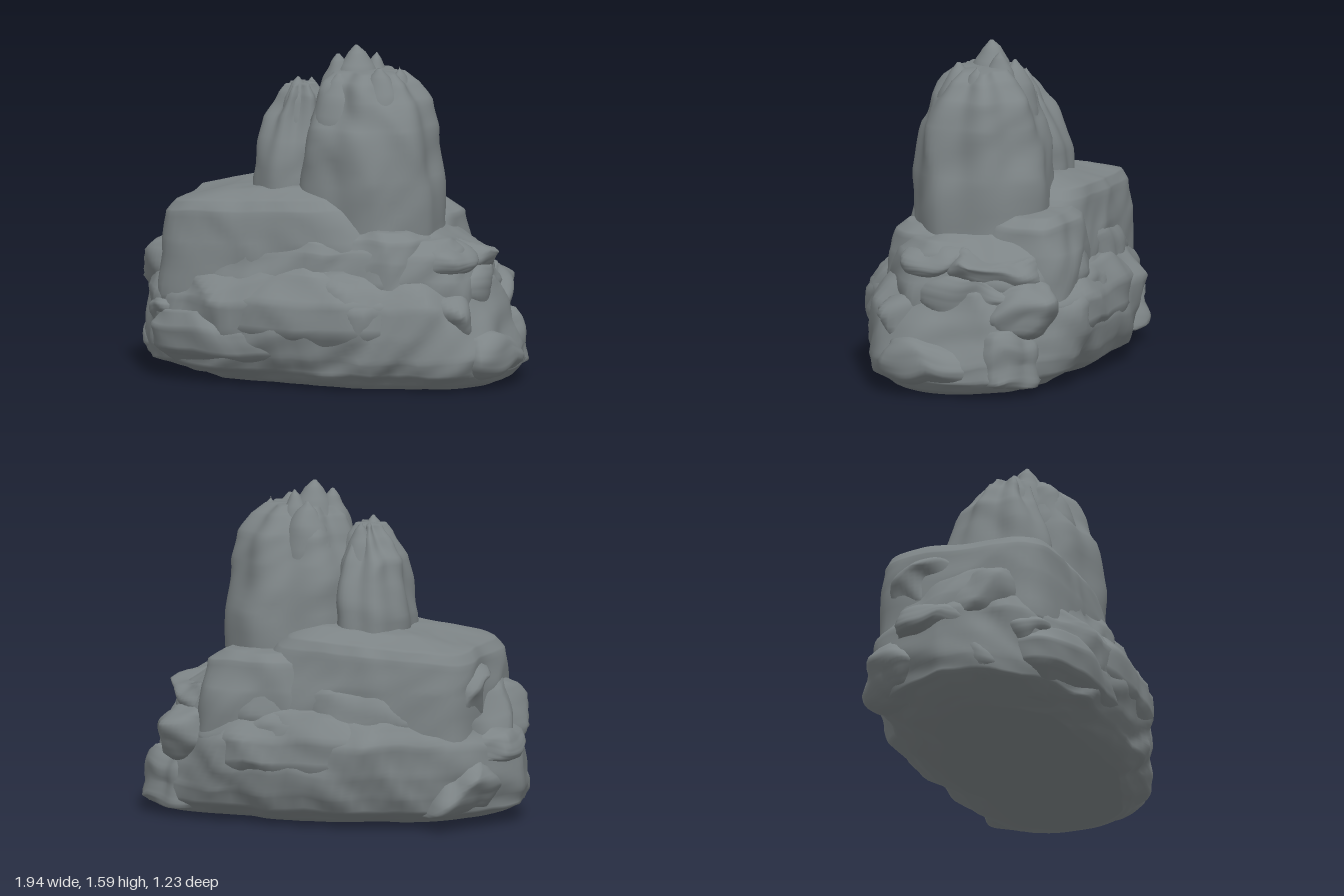
import * as THREE from 'three';

const stone = new THREE.MeshStandardMaterial({ color: 0x7d8486 });
stone.name = 'grey stone';

// Craggy noise: warped sine waves with sharp creases, roughly -1..1
function crag(x, y, z, s) {
  const u = x + 0.12 * Math.sin(7 * y + s), v = y + 0.1 * Math.sin(6 * z + 2 * s), w = z + 0.12 * Math.sin(8 * x + 3 * s);
  const ridge = 1 - 2 * Math.abs(Math.sin(5 * u + 4 * v - 5 * w + s * 1.7));
  const wave = Math.sin(9 * u - 5 * w + s) * Math.sin(13 * v + 4 * w + s * 2.3);
  const fine = Math.sin(23 * u + s) * Math.sin(19 * w + 21 * v);
  return 0.4 * ridge + 0.4 * wave + 0.2 * fine;
}

// Lofts a rock through levels [y, xMin, xMax, zMin, zMax]
function rock(name, levels, { power = 2.4, rough = 0.04, seed = 1, tilt = 0, around = 72, steps = 6, flutes = 0 } = {}) {
  const pos = [], index = [], rings = [];
  for (let i = 0; i < levels.length - 1; i++) {
    for (let k = 0; k < steps; k++) {
      rings.push(levels[i].map((v, c) => THREE.MathUtils.lerp(v, levels[i + 1][c], k / steps)));
    }
  }
  rings.push(levels[levels.length - 1]);
  const y0 = levels[0][0], y1 = rings[rings.length - 1][0];
  const addCentre = ([y, a, b, c, d]) => pos.push((a + b) / 2, y + tilt * (a + b) / 2 * (y - y0) / (y1 - y0), (c + d) / 2);
  for (const [y, xa, xb, za, zb] of rings) {
    const cx = (xa + xb) / 2, cz = (za + zb) / 2, lift = (y - y0) / (y1 - y0);
    for (let j = 0; j < around; j++) {
      const t = j / around * Math.PI * 2, c = Math.cos(t), s = Math.sin(t);
      const r = Math.pow(Math.abs(c) ** power + Math.abs(s) ** power, -1 / power);
      const x = cx + c * r * (xb - xa) / 2, z = cz + s * r * (zb - za) / 2;
      const n = rough * crag(x, y, z, seed) + flutes * Math.sin(7 * t + seed) * lift;
      const py = y + tilt * x * lift + 0.5 * rough * crag(z, x, y, seed + 4) * Math.min(1, y * 8);
      pos.push(x + n * c, Math.max(0, py), z + n * s);
    }
  }
  for (let i = 0; i < rings.length - 1; i++) {
    for (let j = 0; j < around; j++) {
      const p = i * around + j, q = i * around + (j + 1) % around;
      index.push(p, p + around, q, q, p + around, q + around);
    }
  }
  const bottom = rings.length * around, top = bottom + 1, last = (rings.length - 1) * around;
  addCentre(rings[0]);
  addCentre(rings[rings.length - 1]);
  for (let j = 0; j < around; j++) {
    const k = (j + 1) % around;
    index.push(bottom, j, k, top, last + k, last + j);
  }
  const geo = new THREE.BufferGeometry();
  geo.setAttribute('position', new THREE.Float32BufferAttribute(pos, 3));
  geo.setIndex(index);
  geo.computeVertexNormals();
  const mesh = new THREE.Mesh(geo, stone);
  mesh.name = name;
  return mesh;
}

// Pointed shard breaking out of a spire, from its base height up to its tip
function shard(name, x, z, rx, rz, base, height, seed) {
  const profile = [[0, 1], [0.4, 0.9], [0.7, 0.65], [0.9, 0.33], [1, 0.06]];
  const levels = profile.map(([t, r]) => [base + (height - base) * t, x - rx * r, x + rx * r, z - rz * r, z + rz * r]);
  return rock(name, levels, { power: 2, rough: 0.018, seed, around: 28, steps: 4 });
}

// Craggy lump half sunk into the formation
function lump(name, x, y, z, rx, ry, rz, seed) {
  const levels = [];
  for (let i = 0; i <= 8; i++) {
    const a = -1.45 + i / 8 * 2.9, r = Math.cos(a) ** 0.6;
    levels.push([y + ry * Math.sin(a), x - rx * r, x + rx * r, z - rz * r, z + rz * r]);
  }
  return rock(name, levels, { power: 2.1, rough: 0.085, seed, around: 56, steps: 3 });
}

export function createModel() {
  const group = new THREE.Group();
  group.name = 'rockFormation';

  // Broad foot and stepped ledges
  group.add(
    rock('foot', [
      [0, -0.62, 0.84, -0.32, 0.41], [0.025, -0.74, 0.9, -0.43, 0.47], [0.08, -0.91, 0.94, -0.53, 0.55],
      [0.16, -0.92, 0.95, -0.57, 0.58], [0.27, -0.91, 0.89, -0.6, 0.6], [0.4, -0.89, 0.83, -0.6, 0.6],
      [0.49, -0.84, 0.8, -0.54, 0.53], [0.57, -0.74, 0.72, -0.46, 0.46]], { power: 2.25, rough: 0.045, seed: 2, around: 120 }),
    rock('middleLedge', [
      [0.25, -0.87, 0.8, -0.5, 0.49], [0.5, -0.84, 0.79, -0.5, 0.49], [0.64, -0.79, 0.75, -0.47, 0.46],
      [0.7, -0.74, 0.65, -0.43, 0.42], [0.75, -0.5, 0.5, -0.35, 0.34]], { power: 2.5, rough: 0.045, seed: 5, around: 110 }),
    rock('plateau', [
      [0.35, -0.77, 0.45, -0.47, 0.45], [0.66, -0.76, 0.36, -0.46, 0.44], [0.83, -0.74, 0.24, -0.44, 0.41],
      [0.885, -0.7, 0.18, -0.41, 0.37], [0.935, -0.44, 0.1, -0.25, 0.24]], { power: 5.5, rough: 0.018, seed: 8, tilt: 0.07, around: 96 }),
    rock('backShoulder', [
      [0.3, -0.1, 0.63, -0.52, 0], [0.62, -0.05, 0.6, -0.48, 0], [0.77, 0, 0.56, -0.44, -0.05],
      [0.82, 0.06, 0.48, -0.39, -0.1]], { power: 3.5, rough: 0.03, seed: 3 }),
    rock('frontShoulder', [
      [0.35, 0, 0.65, 0, 0.47], [0.6, 0.02, 0.61, 0, 0.44], [0.71, 0.06, 0.58, 0.02, 0.4],
      [0.75, 0.12, 0.5, 0.08, 0.35]], { power: 2.6, rough: 0.03, seed: 6 }),
    rock('frontSlab', [
      [0.1, -0.44, 0.5, 0.1, 0.5], [0.28, -0.46, 0.55, 0.1, 0.61], [0.42, -0.4, 0.52, 0.1, 0.6],
      [0.54, -0.24, 0.4, 0.12, 0.51], [0.58, -0.1, 0.25, 0.18, 0.45]], { power: 2.3, rough: 0.02, seed: 9 }),
    rock('lowerFrontSlab', [
      [0.03, -0.6, 0.2, 0.1, 0.42], [0.15, -0.74, 0.35, 0.1, 0.57], [0.26, -0.78, 0.2, 0.1, 0.57],
      [0.34, -0.72, -0.1, 0.14, 0.52]], { power: 2.7, rough: 0.025, seed: 11 }),
    rock('backSlab', [
      [0.08, -0.42, 0.45, -0.45, -0.1], [0.3, -0.46, 0.6, -0.6, -0.1], [0.42, -0.42, 0.58, -0.59, -0.1],
      [0.55, -0.25, 0.4, -0.5, -0.15]], { power: 2.5, rough: 0.03, seed: 13 }));

  // Craggy lumps along both ends: x, y, z, rx, ry, rz
  [
    [0.76, 0.15, 0.1, 0.22, 0.13, 0.24], [0.68, 0.18, -0.22, 0.22, 0.15, 0.22], [0.64, 0.33, 0.16, 0.2, 0.15, 0.2],
    [0.66, 0.46, -0.08, 0.19, 0.11, 0.24], [0.6, 0.58, -0.12, 0.21, 0.09, 0.25], [0.56, 0.62, 0.1, 0.2, 0.08, 0.2],
    [0.6, 0.4, -0.28, 0.2, 0.16, 0.17], [-0.75, 0.37, -0.1, 0.22, 0.09, 0.22], [-0.7, 0.18, 0.1, 0.22, 0.13, 0.23],
    [-0.68, 0.52, 0.08, 0.18, 0.15, 0.25], [-0.64, 0.22, -0.28, 0.23, 0.16, 0.18], [-0.64, 0.26, 0.3, 0.18, 0.14, 0.16],
    [-0.64, 0.6, -0.16, 0.15, 0.16, 0.22],
  ].forEach((b, i) => group.add(lump('lump' + (i + 1), ...b, i + 1.3)));

  // Tall fluted spire and its smaller neighbour
  group.add(
    rock('spire', [
      [0.55, -0.12, 0.575, -0.32, 0.35], [0.95, -0.115, 0.57, -0.3, 0.35], [1.2, -0.08, 0.53, -0.25, 0.325],
      [1.34, -0.04, 0.485, -0.2, 0.26], [1.43, 0, 0.43, -0.14, 0.2], [1.48, 0.05, 0.37, -0.09, 0.14]],
      { power: 2.3, rough: 0.02, seed: 4, flutes: 0.022, around: 84 }),
    rock('smallSpire', [
      [0.55, -0.37, 0, -0.28, 0.28], [0.95, -0.36, 0, -0.27, 0.27], [1.12, -0.33, 0, -0.22, 0.23],
      [1.24, -0.3, -0.02, -0.17, 0.18], [1.34, -0.23, -0.05, -0.11, 0.13], [1.4, -0.18, -0.09, -0.05, 0.09]],
      { power: 2.3, rough: 0.025, seed: 9, flutes: 0.02, around: 64 }));

  // Shards crowning both spires: x, z, rx, rz, base, height
  [
    [0.14, 0.02, 0.14, 0.14, 1.25, 1.59], [0.06, 0.05, 0.12, 0.12, 1.2, 1.55], [0.22, -0.05, 0.09, 0.1, 1.25, 1.55],
    [0.36, 0.02, 0.12, 0.15, 1.1, 1.5], [0.3, 0.13, 0.16, 0.15, 1.05, 1.5], [0.1, 0.14, 0.15, 0.15, 1.1, 1.47],
    [0.14, -0.1, 0.16, 0.12, 1.1, 1.5], [-0.14, 0.06, 0.1, 0.12, 1.1, 1.43], [-0.12, -0.07, 0.1, 0.1, 1.1, 1.41],
  ].forEach((f, i) => group.add(shard('shard' + (i + 1), ...f, i + 1)));

  return group;
}
